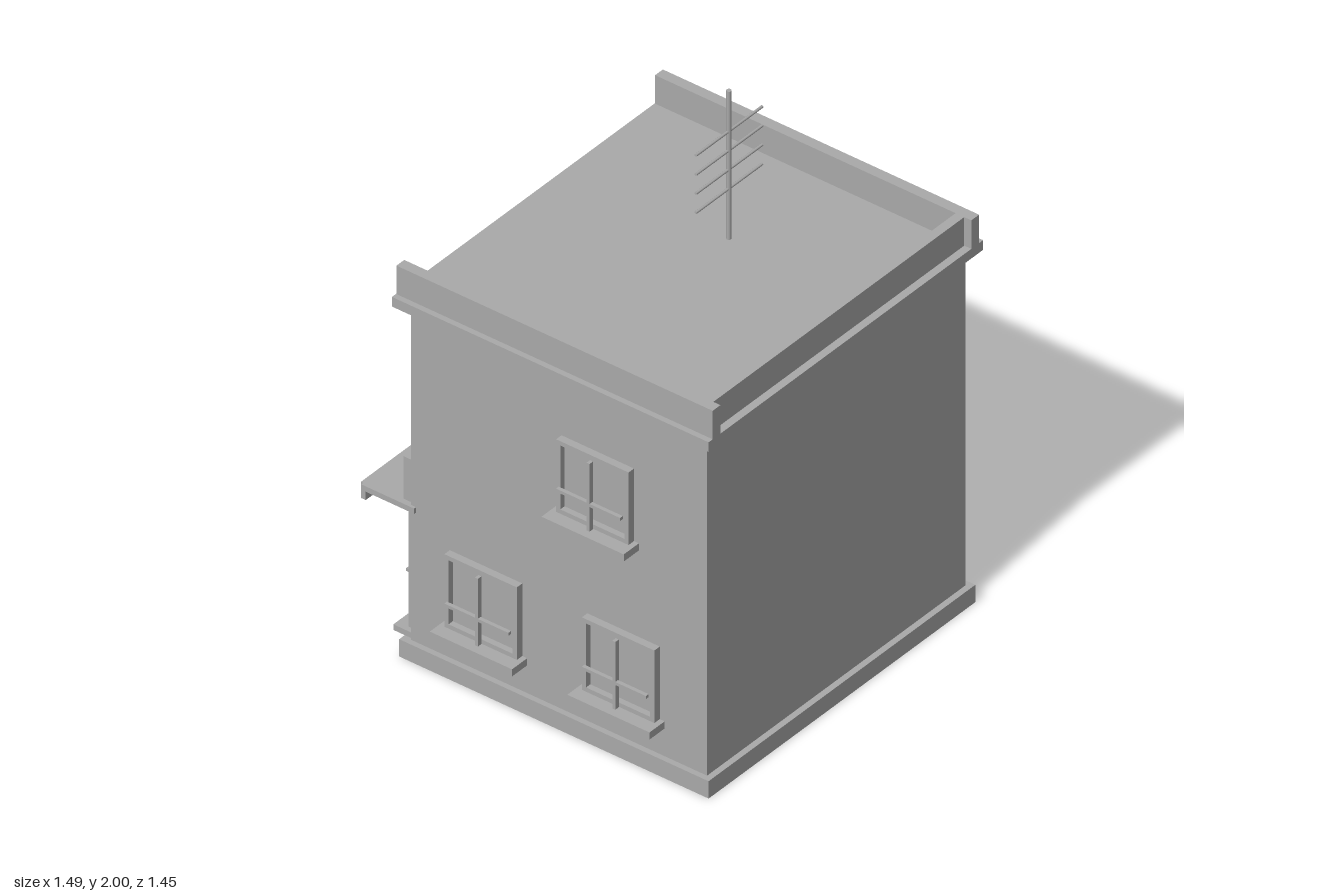
import * as THREE from 'three';

export function createModel() {
  const root = new THREE.Group();
  const grey = new THREE.MeshStandardMaterial({ color: 0xaaaaaa });
  grey.name = 'plain grey';

  // Box given by its lower and upper limits on each axis
  function box(parent, name, x0, x1, y0, y1, z0, z1) {
    const m = new THREE.Mesh(new THREE.BoxGeometry(x1 - x0, y1 - y0, z1 - z0), grey);
    m.name = name;
    m.position.set((x0 + x1) / 2, (y0 + y1) / 2, (z0 + z1) / 2);
    parent.add(m);
    return m;
  }
  function group(name, parent = root) {
    const g = new THREE.Group();
    g.name = name;
    parent.add(g);
    return g;
  }
  function rod(parent, name, r, length) {
    const m = new THREE.Mesh(new THREE.CylinderGeometry(r, r, length, 10), grey);
    m.name = name;
    parent.add(m);
    return m;
  }

  // Window facing +z with its wall at z = 0 and the frame's bottom at y = 0
  function makeWindow(name, w, h, barY, sillDepth = 0.08, sillH = 0.028) {
    const g = group(name);
    const t = 0.017, d = 0.03;
    const shape = new THREE.Shape([[-w / 2, 0], [w / 2, 0], [w / 2, h], [-w / 2, h]].map(p => new THREE.Vector2(...p)));
    const a = w / 2 - t;
    shape.holes.push(new THREE.Path([[-a, t], [-a, h - t], [a, h - t], [a, t]].map(p => new THREE.Vector2(...p))));
    const frame = new THREE.Mesh(new THREE.ExtrudeGeometry(shape, { depth: d, bevelEnabled: false }), grey);
    frame.name = 'windowFrame';
    g.add(frame);
    box(g, 'windowPane', -a, a, t, h - t, 0, 0.008);
    box(g, 'verticalBar', -0.006, 0.006, 0.002, h - t, d + 0.004, d + 0.022);
    box(g, 'horizontalBar', -a, a, barY - 0.006, barY + 0.006, d + 0.008, d + 0.022);
    box(g, 'windowSill', -w / 2 - 0.02, w / 2 + 0.02, -sillH, 0, 0, sillDepth);
    return g;
  }

  // Main building
  box(root, 'walls', -0.667, 0.667, 0.03, 1.4, -0.52, 0.685);
  box(root, 'plinth', -0.688, 0.688, 0, 0.068, -0.552, 0.708);
  box(root, 'cornice', -0.708, 0.708, 1.38, 1.418, -0.566, 0.724);
  for (const s of [-1, 1]) {
    box(root, 'sideParapet', s * 0.667 - 0.02, s * 0.667 + 0.02, 1.418, 1.53, -0.564, 0.724);
  }
  box(root, 'frontParapet', -0.647, 0.647, 1.418, 1.53, 0.66, 0.695);

  // Side windows, the same on both sides
  for (const s of [-1, 1]) {
    for (const [z, y] of [[0.24, 0.858], [0.345, 0.205], [-0.215, 0.205]]) {
      const win = makeWindow('sideWindow', 0.295, 0.285, 0.105);
      win.rotation.y = s * Math.PI / 2;
      win.position.set(s * 0.665, y, z);
    }
  }

  // Upper and shop windows on the back wall
  for (const s of [-1, 1]) {
    const upper = makeWindow('upperWindow', 0.295, 0.32, 0.12);
    upper.rotation.y = Math.PI;
    upper.position.set(s * 0.372, 0.835, -0.519);
    const shop = makeWindow('shopWindow', 0.5, 0.52, 0.205, 0.075, 0.022);
    shop.rotation.y = Math.PI;
    shop.position.set(s * 0.395, 0.095, -0.519);
  }

  // Door with its jambs
  const door = group('door');
  box(door, 'doorPanel', -0.115, 0.115, 0, 0.56, -0.556, -0.515);
  box(door, 'doorStep', -0.115, 0.115, 0, 0.068, -0.562, -0.52);
  for (const s of [-1, 1]) {
    box(door, 'doorJamb', s * 0.124 - 0.009, s * 0.124 + 0.009, 0.0, 0.575, -0.565, -0.515);
  }
  box(door, 'doorHead', -0.115, 0.115, 0.55, 0.575, -0.565, -0.515);

  // Awning with a hanging lip and a fascia board above it
  box(root, 'awningSlab', -0.677, 0.677, 0.577, 0.598, -0.715, -0.5);
  box(root, 'awningLip', -0.667, 0.667, 0.535, 0.598, -0.725, -0.705);
  box(root, 'fasciaBoard', -0.655, 0.655, 0.598, 0.765, -0.56, -0.518);

  // Balcony
  const balcony = group('balcony');
  box(balcony, 'balconyFloor', -0.285, 0.285, 0.855, 0.88, -0.68, -0.52);
  box(balcony, 'frontRail', -0.287, 0.287, 1.077, 1.092, -0.682, -0.667);
  for (const s of [-1, 1]) {
    box(balcony, 'sideRail', s * 0.28 - 0.007, s * 0.28 + 0.007, 1.077, 1.092, -0.67, -0.52);
  }
  for (let i = 0; i <= 11; i++) {
    const baluster = rod(balcony, 'baluster', 0.005, 0.2);
    baluster.position.set(-0.28 + i * 0.56 / 11, 0.98, -0.674);
  }

  // Board hung off the corner
  box(root, 'hangingBoard', 0.56, 0.725, 0.805, 1.14, -0.62, -0.604);

  // Roof aerial
  const aerial = group('aerial');
  rod(aerial, 'mast', 0.009, 0.6).position.set(0.212, 1.7, 0.08);
  for (let i = 0; i < 4; i++) {
    const bar = rod(aerial, 'aerialBar', 0.005, 0.343);
    bar.rotation.z = Math.PI / 2;
    bar.position.set(0.212, 1.615 + i * 0.075, 0.08);
  }
  return root;
}
